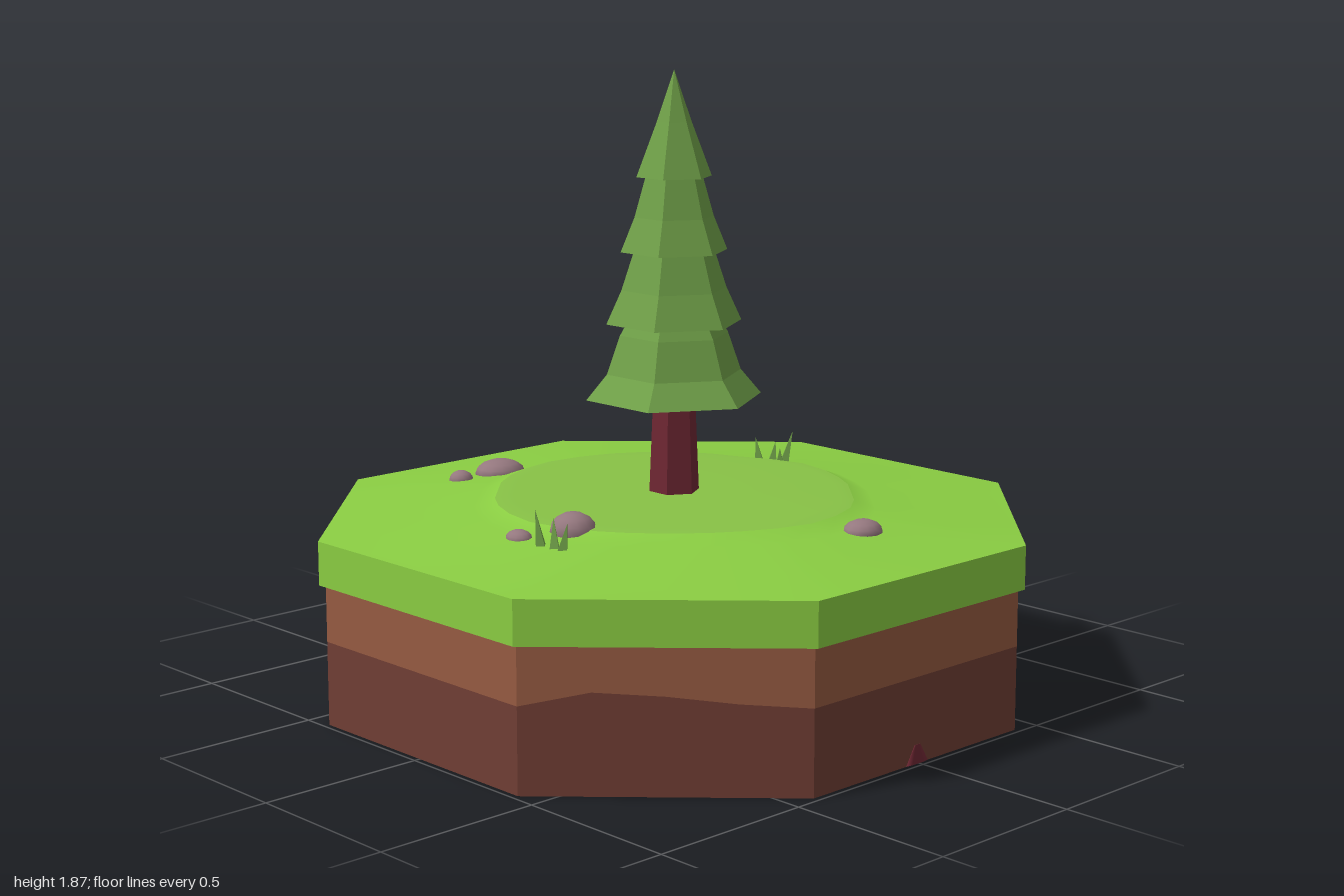
import * as THREE from 'three';

const mat = (name, color, side = THREE.FrontSide) => {
  const m = new THREE.MeshStandardMaterial({ color, side });
  m.name = name;
  return m;
};

// Faceted copy of a geometry
function facet(g) {
  const f = g.index ? g.toNonIndexed() : g;
  f.computeVertexNormals();
  return f;
}

// Skin over a stack of closed rings of [x, y, z] points
function skin(rings) {
  const n = rings[0].length, index = [];
  for (let r = 0; r < rings.length - 1; r++) {
    for (let i = 0; i < n; i++) {
      const j = (i + 1) % n, a = r * n, b = a + n;
      index.push(a + i, a + j, b + j, a + i, b + j, b + i);
    }
  }
  const g = new THREE.BufferGeometry();
  g.setAttribute('position', new THREE.Float32BufferAttribute(rings.flat(2), 3));
  g.setIndex(index);
  g.computeVertexNormals();
  return g;
}

// Octagon outline, each edge cut in four
const corners = [[-0.43, 1], [0.43, 1], [1, 0.43], [1, -0.43], [0.43, -1], [-0.43, -1], [-1, -0.43], [-1, 0.43]];
const outline = [];
corners.forEach(([x, z], i) => {
  const [x2, z2] = corners[(i + 1) % 8];
  for (let t = 0; t < 1; t += 0.25) outline.push([x + (x2 - x) * t, z + (z2 - z) * t]);
});
const ring = (s, y) => outline.map(([x, z], i) => [x * s, typeof y === 'number' ? y : y[i], z * s]);

// Height of the line between the two soils, along the outline
const soilLine = [
  0.25, 0.25, 0.25, 0.25, 0.25, 0.29, 0.28, 0.26, 0.25, 0.25, 0.25, 0.25, 0.25, 0.19, 0.2, 0.22,
  0.2, 0.23, 0.25, 0.25, 0.25, 0.25, 0.25, 0.25, 0.25, 0.29, 0.28, 0.26, 0.24, 0.26, 0.28, 0.29,
];

// Edge of the raised middle, as radius by angle in 22.5 degree steps from the front
const moundRadius = [0.57, 0.55, 0.53, 0.54, 0.57, 0.56, 0.53, 0.54, 0.56, 0.53, 0.56, 0.57, 0.57, 0.55, 0.53, 0.55];
function moundRing(s, y) {
  return outline.map(([x, z]) => {
    const a = Math.atan2(x, z), k = ((a / (Math.PI * 2) + 1) % 1) * 16, i = Math.floor(k);
    const r = s * THREE.MathUtils.lerp(moundRadius[i % 16], moundRadius[(i + 1) % 16], k - i);
    return [Math.sin(a) * r, y, Math.cos(a) * r];
  });
}

export function createModel() {
  const model = new THREE.Group();
  const grass = mat('grass green', 0x8acd42);
  const mound = mat('mound green', 0x88c246);
  const upperSoil = mat('light soil', 0x965b41);
  const lowerSoil = mat('dark soil', 0x703e34);
  const needles = mat('needle green', 0x6f9f48);
  const bark = mat('bark red', 0x6e2733);
  const stone = mat('stone mauve', 0x95787f);

  const add = (name, geometry, material, parent = model) => {
    const m = new THREE.Mesh(geometry, material);
    m.name = name;
    parent.add(m);
    return m;
  };

  // Soil block
  add('lowerSoil', facet(skin([ring(0, 0.004), ring(0.982, 0.004)].reverse().map(r => r.slice().reverse()))), lowerSoil);
  add('lowerSoilWall', facet(skin([ring(0.982, 0), ring(0.982, soilLine)])), lowerSoil);
  add('upperSoilWall', facet(skin([ring(0.982, soilLine), ring(0.982, 0.43)])), upperSoil);
  const plate = add('basePlate', new THREE.BoxGeometry(1.4, 0.004, 1.4), needles);
  plate.position.y = 0.002;
  const patch = add('rootPatch', new THREE.CylinderGeometry(0.012, 0.045, 0.055, 6), bark);
  patch.scale.x = 0.1;
  patch.position.set(0.982, 0.0275, 0.005);

  // Turf
  add('turfRim', facet(skin([ring(0.97, 0.42), ring(1, 0.42), ring(1, 0.55)])), grass);
  add('turfSlope', skin([ring(1, 0.55), moundRing(1.12, 0.586), moundRing(1, 0.611)]), grass);
  add('moundTop', skin([moundRing(1, 0.611), moundRing(0.9, 0.615), moundRing(0, 0.615)]), mound);

  // Tree
  const tree = new THREE.Group();
  tree.name = 'tree';
  model.add(tree);
  const trunk = add('trunk', facet(new THREE.CylinderGeometry(0.062, 0.077, 0.36, 6)), bark, tree);
  trunk.position.y = 0.78;
  trunk.rotation.y = Math.PI / 6;
  const tiers = [
    [[0.04, 0.95], [0.268, 0.9], [0.205, 0.975], [0.165, 1.09], [0.145, 1.125]],
    [[0.1, 1.15], [0.206, 1.125], [0.16, 1.225], [0.122, 1.34]],
    [[0.08, 1.36], [0.162, 1.338], [0.12, 1.44], [0.086, 1.56]],
    [[0.05, 1.58], [0.114, 1.558], [0.052, 1.72], [0, 1.87]],
  ];
  tiers.forEach((profile, i) => {
    const points = profile.map(p => new THREE.Vector2(...p));
    add('foliageTier' + (i + 1), facet(new THREE.LatheGeometry(points, 6, Math.PI / 2)), needles, tree);
  });

  // Stones: x, z, half width, half depth, base height, top height
  [
    [-0.67, 0.12, 0.072, 0.082, 0.58, 0.622],
    [-0.685, 0.265, 0.038, 0.038, 0.575, 0.605],
    [0.65, -0.125, 0.055, 0.062, 0.58, 0.617],
    [0.13, 0.52, 0.068, 0.068, 0.6, 0.655],
    [0.035, 0.64, 0.043, 0.037, 0.58, 0.607],
  ].forEach(([x, z, w, d, y, top], i) => {
    const s = add('stone' + (i + 1), new THREE.SphereGeometry(1, 12, 8), stone);
    s.scale.set(w, top - y, d);
    s.position.set(x, y, z);
  });

  // Grass blades: x, z, top height, lean in x, lean in z
  [
    [-0.23, -0.59, 0.655, -0.1, 0.1],
    [-0.185, -0.62, 0.645, 0.1, -0.1],
    [-0.14, -0.64, 0.685, 0.15, -0.2],
    [-0.12, -0.58, 0.64, 0.1, 0.1],
    [0.135, 0.655, 0.685, -0.1, 0.1],
    [0.18, 0.635, 0.665, -0.15, -0.1],
    [0.22, 0.63, 0.655, 0.15, -0.1],
  ].forEach(([x, z, top, lx, lz], i) => {
    const h = top - 0.575;
    const blade = add('grassBlade' + (i + 1), facet(new THREE.ConeGeometry(0.019, h, 4)), needles);
    blade.position.set(x, 0.575 + h / 2, z);
    blade.rotation.set(lz, 0, -lx);
  });

  return model;
}
